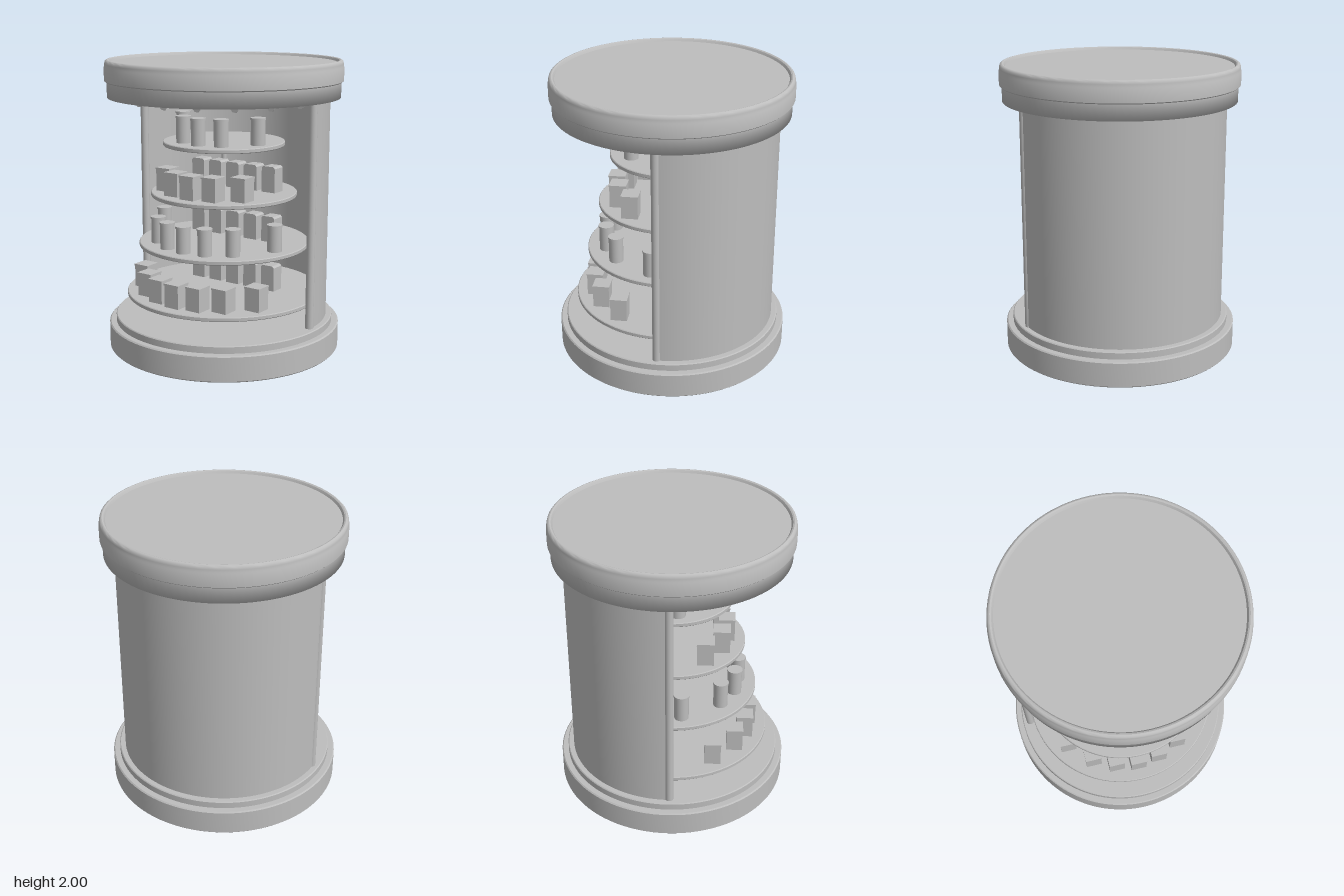
import * as THREE from 'three';
import { toCreasedNormals } from 'three/addons/utils/BufferGeometryUtils.js';

const grey = new THREE.MeshStandardMaterial({ color: 0xbdbdbd });
grey.name = 'plain grey';

export function createModel() {
  const model = new THREE.Group();
  model.name = 'displayKiosk';

  const add = (name, geo, x = 0, y = 0, z = 0, parent = model) => {
    const m = new THREE.Mesh(geo, grey);
    m.name = name;
    m.position.set(x, y, z);
    parent.add(m);
    return m;
  };
  // Turned part from [radius, height] points, listed bottom to top on the outside
  const turned = (pts, segs = 96, crease = 0.6) => toCreasedNormals(
    new THREE.LatheGeometry(pts.map(p => new THREE.Vector2(p[0], p[1])), segs), crease);
  // Solid disc with small bevels
  const disc = (r, y0, y1, b = 0.006, segs = 96) => turned(
    [[0, y0], [r - b, y0], [r, y0 + b], [r, y1 - b], [r - b, y1], [0, y1]], segs);

  // Base plinth and step
  add('basePlinth', disc(0.81, 0, 0.18, 0.008));
  add('baseStep', disc(0.763, 0.17, 0.23, 0.006));

  // Curved rear wall with an open front
  const wall = new THREE.Shape();
  wall.absarc(0, 0, 0.722, 0, Math.PI, false);
  wall.absarc(0, 0, 0.69, Math.PI, 0, true);
  const wallGeo = new THREE.ExtrudeGeometry(wall, { depth: 1.62, bevelEnabled: false, curveSegments: 64 });
  wallGeo.rotateX(-Math.PI / 2);
  add('rearWall', toCreasedNormals(wallGeo, 0.6), 0, 0.23, 0);

  // Round posts that close the wall ends
  for (const s of [-1, 1])
    add('wallPost', new THREE.CylinderGeometry(0.028, 0.028, 1.62, 20), s * 0.707, 1.04, 0.003);

  // Roof: hollow lower band, ceiling and cap with a raised rim
  add('canopyBand', turned([[0.745, 1.86], [0.745, 1.75], [0.793, 1.75], [0.793, 1.86]], 96, 3));
  add('roofCap', turned([
    [0, 1.855], [0.802, 1.855], [0.81, 1.862], [0.81, 1.95], [0.806, 1.958],
    [0.806, 1.975], [0.802, 1.99], [0.794, 1.998], [0.786, 2], [0.776, 1.996],
    [0.768, 1.984], [0.766, 1.98], [0, 1.98]]));

  // Small flat lamps hanging around the canopy
  const lamp = new THREE.CylinderGeometry(0.03, 0.03, 0.008, 8);
  lamp.rotateY(Math.PI / 8);
  lamp.rotateX(Math.PI / 2);
  for (let i = 0; i < 9; i++) {
    const a = (10 + i * 20) * Math.PI / 180;
    add('canopyLamp', lamp, 0.02 + 0.675 * Math.cos(a), 1.747, 0.01 + 0.67 * Math.sin(a));
  }

  // Goods: round cans, lidded boxes and bevelled cartons
  const canGeo = new THREE.CylinderGeometry(0.049, 0.049, 0.17, 24);
  const canLid = new THREE.CylinderGeometry(0.053, 0.053, 0.014, 24);
  const boxGeo = new THREE.BoxGeometry(0.112, 0.15, 0.112);
  const boxLid = new THREE.BoxGeometry(0.118, 0.012, 0.118);
  const face = new THREE.Shape([[-0.053, 0], [0.053, 0], [0.053, 0.167], [0.04, 0.18], [-0.04, 0.18], [-0.053, 0.167]]
    .map(p => new THREE.Vector2(p[0], p[1])));
  const cartonGeo = new THREE.ExtrudeGeometry(face, { depth: 0.1, bevelEnabled: false });
  cartonGeo.translate(0, 0, -0.05);

  const can = (x, y, z, parent) => {
    add('can', canGeo, x, y + 0.085, z, parent);
    add('canLid', canLid, x, y + 0.176, z, parent);
  };
  const box = (x, y, z, parent) => {
    add('box', boxGeo, x, y + 0.075, z, parent);
    add('boxLid', boxLid, x, y + 0.156, z, parent);
  };

  // Shelves: z lists the depth of the goods from the middle outwards
  const tiers = [
    { r: 0.68, y: 0.393, item: box, z: [0.545, 0.52, 0.445, 0.292], cartons: true },
    { r: 0.592, y: 0.745, item: can, z: [0.465, 0.438, 0.34, 0.078], cartons: true },
    { r: 0.506, y: 1.095, item: box, z: [0.375, 0.341, 0.232], cartons: true },
    { r: 0.42, y: 1.445, item: can, z: [0.295, 0.252, 0.05], cartons: false },
  ];
  for (const t of tiers) {
    const tier = new THREE.Group();
    tier.name = 'shelfTier';
    model.add(tier);
    add('shelf', disc(t.r, t.y - 0.03, t.y, 0.005, 72), 0, 0, 0, tier);
    add('shelfStem', new THREE.CylinderGeometry(0.019, 0.019, 0.1, 16), 0, t.y - 0.075, 0, tier);
    const n = t.z.length - 1;
    for (let i = -n; i <= n; i++) t.item(i * 0.157, t.y, t.z[Math.abs(i)], tier);
    if (t.cartons)
      for (let i = -2; i <= 2; i++) add('carton', cartonGeo, i * 0.15, t.y, -0.15, tier);
  }
  return model;
}
